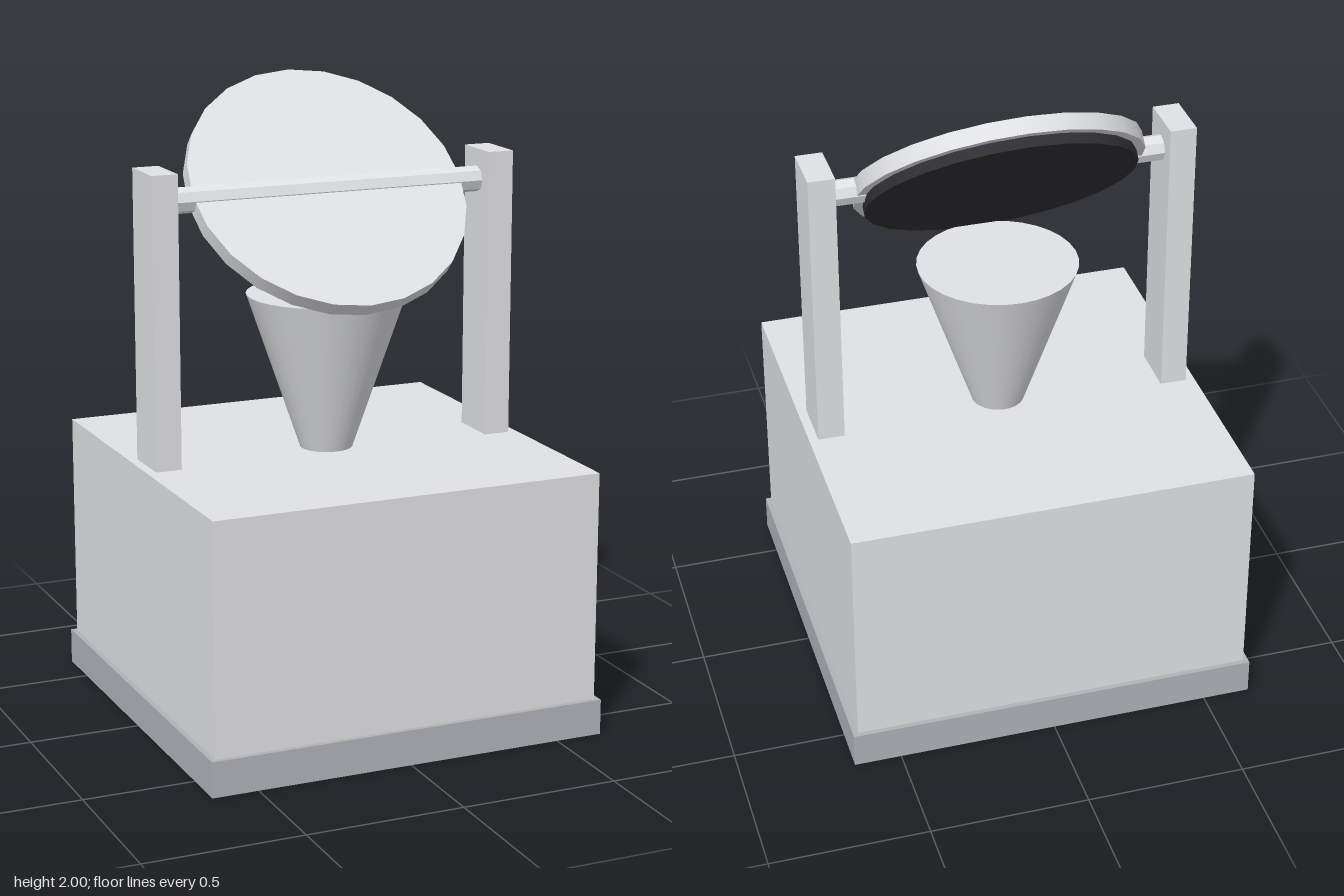
import * as THREE from 'three';

export function createModel() {
  const group = new THREE.Group();
  const material = (name, color) => {
    const m = new THREE.MeshStandardMaterial({ color });
    m.name = name;
    return m;
  };
  const lightGrey = material('light grey', 0xe0e1e4);
  const steelGrey = material('steel grey', 0xafb2b8);
  const darkBacking = material('dark backing', 0x2e2e34);

  const add = (name, geometry, mat, x, y, z, parent = group) => {
    const mesh = new THREE.Mesh(geometry, mat);
    mesh.name = name;
    mesh.position.set(x, y, z);
    parent.add(mesh);
    return mesh;
  };

  // Pedestal: block reaching the ground, wrapped by a slightly wider plinth
  add('plinth', new THREE.BoxGeometry(1.298, 0.113, 1.298), steelGrey, 0, 0.0585, 0);
  add('block', new THREE.BoxGeometry(1.266, 0.845, 1.266), lightGrey, 0, 0.4225, 0);

  // Flared cone standing in the middle of the block
  add('cone', new THREE.CylinderGeometry(0.252, 0.083, 0.495, 32), lightGrey, 0, 1.0925, 0);

  // Upright posts on both sides
  for (const side of [-1, 1]) {
    add(side > 0 ? 'leftPost' : 'rightPost', new THREE.BoxGeometry(0.084, 0.915, 0.168),
      lightGrey, side * 0.562, 1.3025, 0);
  }

  // Eight-sided axle between the posts
  const axle = new THREE.CylinderGeometry(0.041, 0.041, 1.05, 8).toNonIndexed();
  axle.computeVertexNormals();
  add('axle', axle, lightGrey, 0, 1.664, 0).rotation.z = Math.PI / 2;

  // Tilted disc with a smaller dark backing
  const tilt = new THREE.Group();
  tilt.name = 'tiltedDisc';
  tilt.position.set(0, 1.664, 0);
  tilt.rotation.x = Math.PI / 4;
  group.add(tilt);
  add('disc', new THREE.CylinderGeometry(0.45, 0.45, 0.052, 24), lightGrey, 0, 0, 0, tilt);
  add('discBacking', new THREE.CylinderGeometry(0.422, 0.422, 0.035, 24), darkBacking, 0, -0.0415, 0, tilt);

  return group;
}
